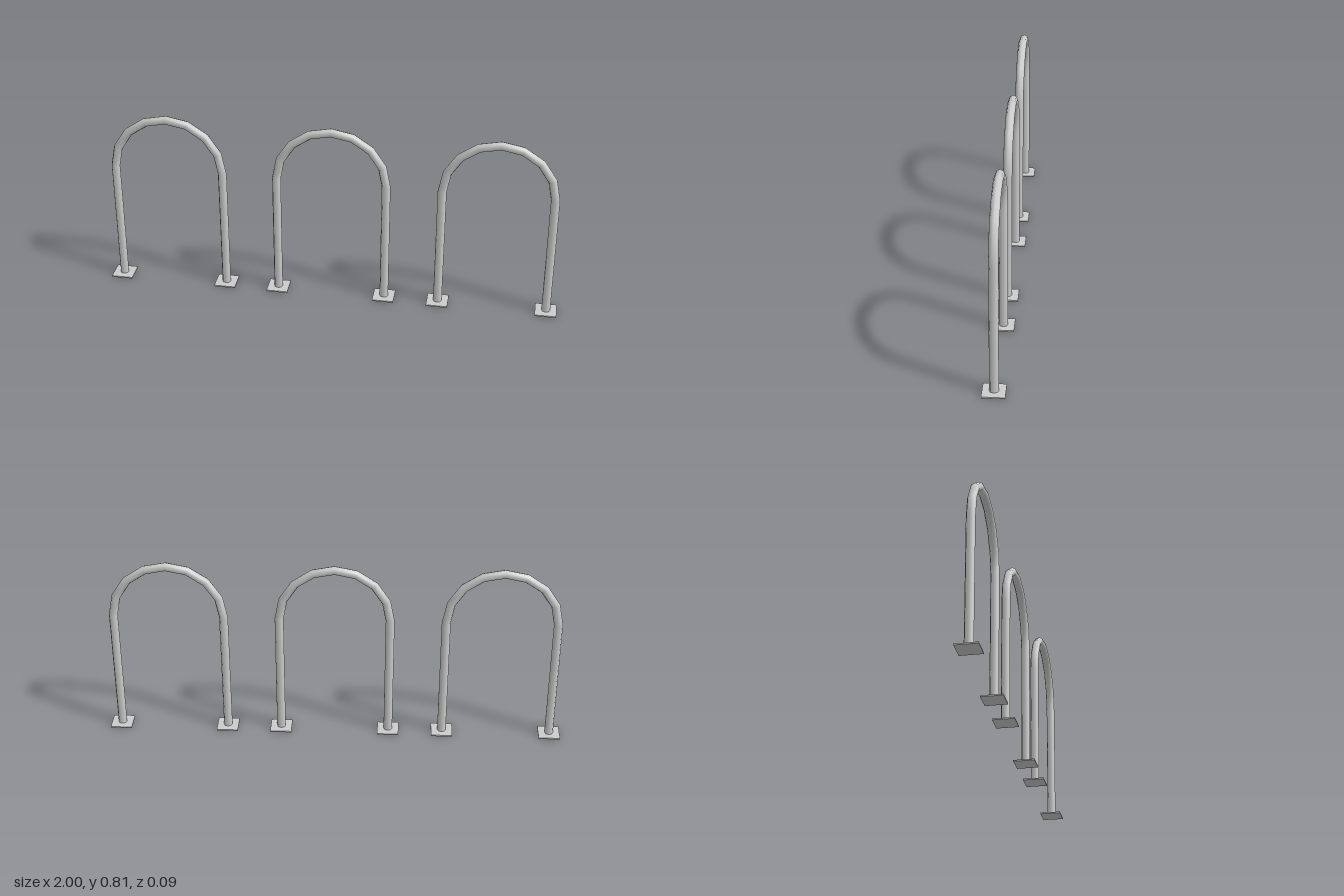
import * as THREE from 'three';

const SPACING = 0.715;   // distance between neighbouring hoops
const ARCH = 0.238;      // half distance between legs, also the bend radius
const SPRING = 0.558;    // height where the bend starts
const TUBE = 0.019;
const PLATE = 0.094;
const PLATE_H = 0.006;
const BENDS = 8;         // straight pieces in the bend

// Leg up, half-circle bend, leg down; one sample per joint
class HoopCurve extends THREE.Curve {
  getPointAt(u, target = new THREE.Vector3()) {
    const a = this.angle(u);
    const foot = u < 0.01 || u > 0.99;
    return target.set(-ARCH * Math.cos(a), foot ? PLATE_H / 2 : SPRING + ARCH * Math.sin(a), 0);
  }
  getTangentAt(u, target = new THREE.Vector3()) {
    const a = this.angle(u);
    return target.set(Math.sin(a), Math.cos(a), 0);
  }
  angle(u) {
    const joint = Math.round(u * (BENDS + 2)) - 1;
    return THREE.MathUtils.clamp(joint / BENDS, 0, 1) * Math.PI;
  }
}

export function createModel() {
  const model = new THREE.Group();
  model.name = 'bikeRack';
  const steel = new THREE.MeshStandardMaterial({ color: 0xcccccc });
  steel.name = 'light grey steel';

  const tubeGeometry = new THREE.TubeGeometry(new HoopCurve(), BENDS + 2, TUBE, 8, false);
  const plateGeometry = new THREE.BoxGeometry(PLATE, PLATE_H, PLATE);

  for (const i of [-1, 0, 1]) {
    const hoop = new THREE.Group();
    hoop.name = 'hoop';
    hoop.position.x = i * SPACING;

    const tube = new THREE.Mesh(tubeGeometry, steel);
    tube.name = 'bentTube';
    hoop.add(tube);

    // Square floor plate under each leg
    for (const side of [-1, 1]) {
      const plate = new THREE.Mesh(plateGeometry, steel);
      plate.name = 'basePlate';
      plate.position.set(side * ARCH, PLATE_H / 2, 0);
      hoop.add(plate);
    }
    model.add(hoop);
  }
  return model;
}
